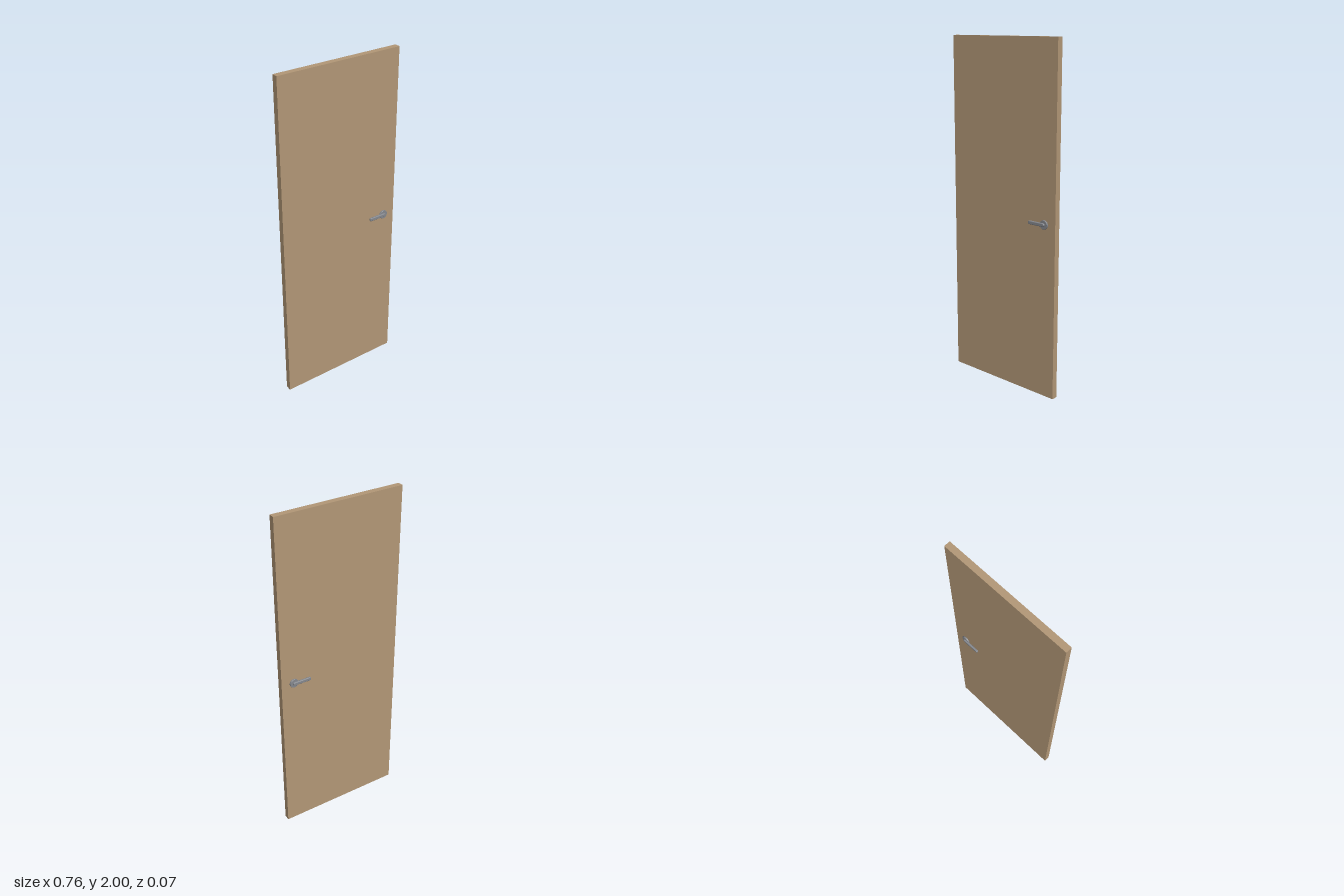
import * as THREE from 'three';

export function createModel() {
  const model = new THREE.Group();
  const wood = new THREE.MeshStandardMaterial({ color: 0xb39877 });
  const metal = new THREE.MeshStandardMaterial({ color: 0x85888e });
  const pivotX = 0.303, pivotY = 1.007;

  // Door leaf
  const leaf = new THREE.Mesh(new THREE.BoxGeometry(0.758, 2, 0.035), wood);
  leaf.name = 'doorLeaf';
  leaf.position.y = 1;
  model.add(leaf);

  // Lever outline: round at the pivot, softly squared at the free end
  const r = 0.006, bevel = 0.004, tip = -0.098;
  const outline = new THREE.Shape();
  outline.moveTo(0, -r);
  outline.absarc(0, 0, r, -Math.PI / 2, Math.PI / 2, false);
  outline.lineTo(tip + 0.003, r);
  outline.quadraticCurveTo(tip, r, tip, r - 0.003);
  outline.lineTo(tip, -r + 0.003);
  outline.quadraticCurveTo(tip, -r, tip + 0.003, -r);
  outline.closePath();
  const leverGeometry = new THREE.ExtrudeGeometry(outline, {
    depth: 0.005, bevelEnabled: true, bevelThickness: 0.004,
    bevelSize: bevel, bevelSegments: 4, curveSegments: 16,
  });

  // Round backplate with a slightly eased rim
  const roseGeometry = new THREE.LatheGeometry([
    new THREE.Vector2(0.026, 0), new THREE.Vector2(0.026, 0.0075),
    new THREE.Vector2(0.026, 0.0075), new THREE.Vector2(0.025, 0.0085),
    new THREE.Vector2(0.025, 0.0085), new THREE.Vector2(0, 0.0085),
  ], 32);
  roseGeometry.rotateX(Math.PI / 2);

  // One handle on each face, both pointing away from the latch edge
  for (const side of [1, -1]) {
    const handle = new THREE.Group();
    handle.name = side > 0 ? 'frontHandle' : 'backHandle';
    const rose = new THREE.Mesh(roseGeometry, metal);
    rose.name = 'rose';
    rose.position.z = 0.0175;
    const lever = new THREE.Mesh(leverGeometry, metal);
    lever.name = 'lever';
    lever.position.z = 0.026;
    // Half turn about the lever's own length keeps its direction
    handle.rotation.x = side > 0 ? 0 : Math.PI;
    handle.position.set(pivotX, pivotY, 0);
    handle.add(rose, lever);
    model.add(handle);
  }
  return model;
}
